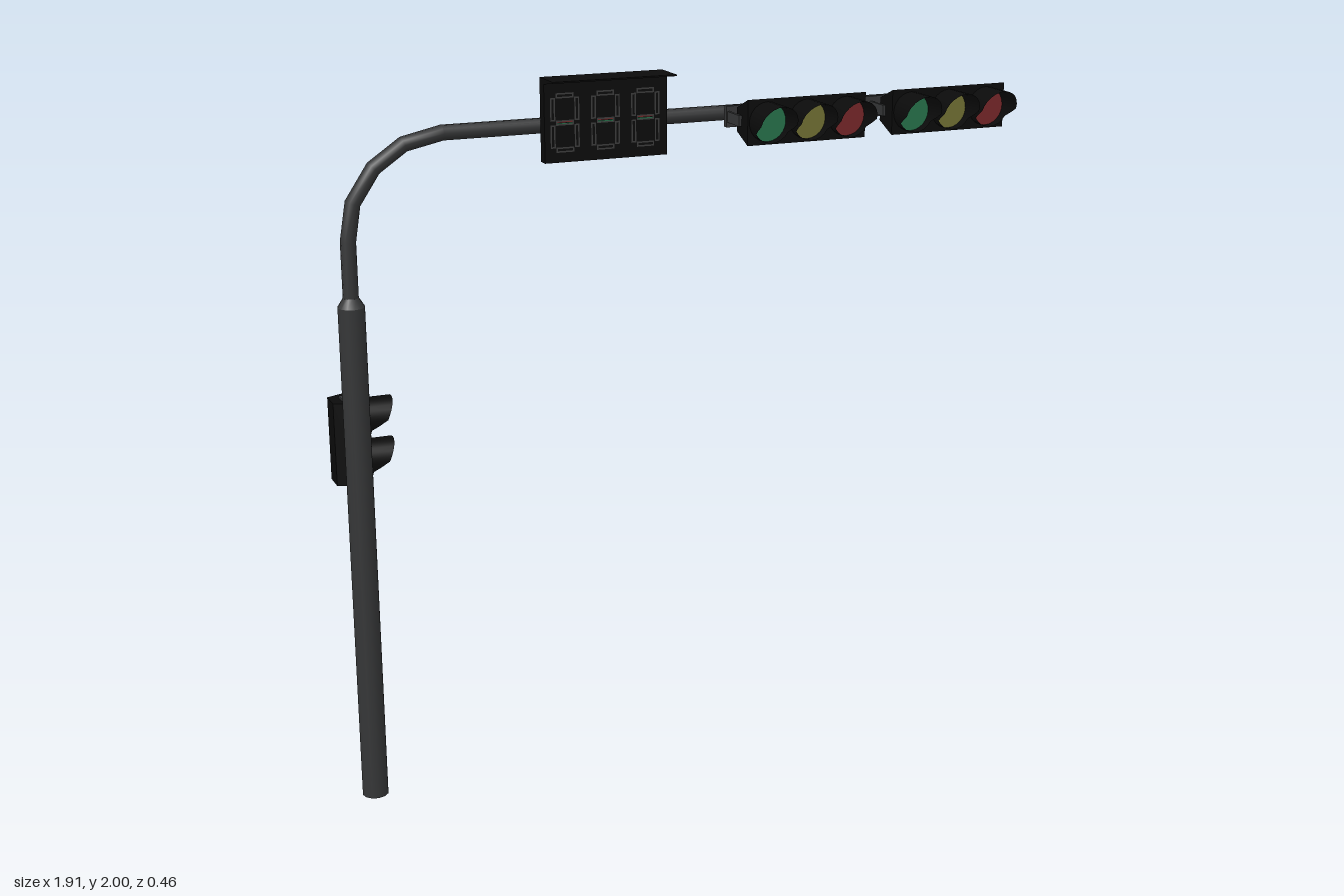
import * as THREE from 'three';

const mat = (name, color, side = THREE.FrontSide) => {
  const m = new THREE.MeshStandardMaterial({ color, side });
  m.name = name;
  return m;
};

export function createModel() {
  const root = new THREE.Group();
  root.name = 'trafficLight';
  const steel = mat('darkSteel', 0x353637);
  const black = mat('blackHousing', 0x0b0b0b);
  const hoodMat = mat('blackVisor', 0x0b0b0b, THREE.DoubleSide);
  const grey = mat('segmentGrey', 0x3c3c3c);
  const green = mat('greenLens', 0x26704a);
  const yellow = mat('yellowLens', 0x706f33);
  const red = mat('redLens', 0x752729);

  const add = (parent, name, geo, material, x = 0, y = 0, z = 0) => {
    const m = new THREE.Mesh(geo, material);
    m.name = name;
    m.position.set(x, y, z);
    parent.add(m);
    return m;
  };
  const box = (parent, name, material, w, h, d, x, y, z) =>
    add(parent, name, new THREE.BoxGeometry(w, h, d), material, x, y, z);

  // side profile in (z, y), extruded along x and centred
  const extrudeX = (profile, length) => {
    const shape = new THREE.Shape(profile.map(p => new THREE.Vector2(...p)));
    const geo = new THREE.ExtrudeGeometry(shape, { depth: length, bevelEnabled: false });
    return geo.rotateY(-Math.PI / 2).translate(length / 2, 0, 0);
  };

  // upright pole with a short tapered collar
  const px = -0.914, pz = -0.053, armY = 1.868;
  add(root, 'pole', new THREE.CylinderGeometry(0.037, 0.037, 1.425, 12), steel, px, 0.7125, pz);
  add(root, 'poleCollar', new THREE.CylinderGeometry(0.021, 0.037, 0.025, 12), steel, px, 1.4375, pz);

  // bent arm: one ring of vertices at each bend
  const pts = [[px, 1.43], [px, 1.6], [-0.897, 1.7], [-0.838, 1.788], [-0.755, 1.845],
    [-0.65, armY], [0.68, armY]].map(p => new THREE.Vector3(p[0], p[1], pz));
  class Polyline extends THREE.Curve {
    getPointAt(t) { return pts[Math.round(t * (pts.length - 1))].clone(); }
    getPoint(t) { return this.getPointAt(t); }
    getTangentAt(t) {
      const i = Math.round(t * (pts.length - 1));
      const dir = new THREE.Vector3();
      if (i > 0) dir.add(pts[i].clone().sub(pts[i - 1]).normalize());
      if (i < pts.length - 1) dir.add(pts[i + 1].clone().sub(pts[i]).normalize());
      return dir.normalize();
    }
  }
  add(root, 'arm', new THREE.TubeGeometry(new Polyline(), pts.length - 1, 0.021, 10), steel);
  add(root, 'armCap', new THREE.CircleGeometry(0.021, 10).rotateY(Math.PI / 2), steel, 0.68, armY, pz);

  // lamp visor: tube whose front rim is cut back towards the bottom
  const R = 0.054;
  const visorGeo = () => {
    const geo = new THREE.CylinderGeometry(R, R, 1, 24, 1, true).rotateX(Math.PI / 2);
    const pos = geo.attributes.position;
    for (let i = 0; i < pos.count; i++) {
      const v = pos.getY(i) / R;
      const rim = v > 0 ? 0.145 + 0.025 * v : 0.1 + 0.045 * Math.max(0, 1 + v * 2);
      pos.setZ(i, pos.getZ(i) > 0 ? rim : 0.068);
    }
    geo.computeVertexNormals();
    return geo;
  };

  // signal head facing +z with its back at z = 0
  const signalHead = (name, lenses, vertical) => {
    const head = new THREE.Group();
    head.name = name;
    const step = 0.119, length = step * lenses.length - 0.002;
    const body = extrudeX([[0, -0.032], [0.07, -0.062], [0.07, 0.062], [0, 0.032]], length);
    if (vertical) body.rotateZ(Math.PI / 2);
    add(head, 'housing', body, black);
    lenses.forEach((material, i) => {
      const o = (i - (lenses.length - 1) / 2) * step;
      const x = vertical ? 0 : o, y = vertical ? -o : 0;
      add(head, 'lens', new THREE.CircleGeometry(0.053, 24), material, x, y, 0.073);
      add(head, 'visor', visorGeo(), hoodMat, x, y, 0);
    });
    root.add(head);
    return head;
  };

  // two vehicle signals with their end prongs
  for (const x of [0.323, 0.762]) {
    signalHead('vehicleSignal', [green, yellow, red], false).position.set(x, armY, 0.06);
    for (const s of [-1, 1]) {
      box(root, 'signalProng', steel, 0.008, 0.03, 0.085, x + s * 0.182, armY, 0.05);
    }
  }
  // mounting rail and its links to the arm
  box(root, 'mountingRail', steel, 0.815, 0.058, 0.016, 0.5425, armY, 0.008);
  for (const x of [0.36, 0.665]) box(root, 'railLink', steel, 0.012, 0.03, 0.05, x, armY, -0.02);

  // pedestrian signal facing +x, held by two thin brackets
  const ped = signalHead('pedestrianSignal', [black, black], true);
  ped.position.set(-0.957, 1.021, -0.169);
  ped.rotation.y = Math.PI / 2;
  for (const y of [1.141, 0.901]) {
    box(root, 'pedestrianBracket', steel, 0.03, 0.008, 0.12, px, y, -0.125);
  }

  // little walking and standing figures on the lenses
  const figure = (material, y, spread) => {
    const g = new THREE.Group();
    g.name = 'pedestrianFigure';
    g.position.set(0, y, 0.076);
    add(g, 'figureHead', new THREE.CircleGeometry(0.005, 10), material, 0, 0.02, 0);
    box(g, 'figureTorso', material, 0.009, 0.018, 0.002, 0, 0.005, 0);
    for (const s of [-1, 1]) {
      box(g, 'figureLeg', material, 0.004, 0.02, 0.002, s * (0.003 + spread * 0.005), -0.012, 0)
        .rotation.z = s * spread * 0.5;
      box(g, 'figureArm', material, 0.003, 0.016, 0.002, s * (0.007 + spread * 0.004), 0.006, 0)
        .rotation.z = s * spread * 0.8;
    }
    ped.add(g);
  };
  figure(red, 0.0595, 0.1);
  figure(green, -0.0595, 1);

  // countdown board with a wedge-shaped hood
  const bx = -0.21, by = 1.8875;
  box(root, 'countdownBoard', black, 0.35, 0.225, 0.032, bx, by, -0.016);
  add(root, 'countdownHood', extrudeX([[-0.001, 1.985], [0.07, 1.996], [0.07, 2], [-0.001, 2]], 0.35),
    black, bx, 0, 0);

  // outlined seven-segment digits
  const segment = (x, y, w, h, inner) => {
    const rect = (shape, a, b) => shape.moveTo(-a, -b).lineTo(a, -b).lineTo(a, b).lineTo(-a, b).closePath();
    const shape = rect(new THREE.Shape(), w / 2, h / 2);
    shape.holes.push(rect(new THREE.Path(), w / 2 - 0.004, h / 2 - 0.004));
    add(root, 'digitSegment', new THREE.ShapeGeometry(shape), grey, x, y, 0.002);
    if (inner) {
      box(root, 'digitRedBar', red, w - 0.008, 0.003, 0.002, x, y + 0.0025, 0.001);
      box(root, 'digitGreenBar', green, w - 0.008, 0.003, 0.002, x, y - 0.0025, 0.001);
    }
  };
  for (const i of [-1, 0, 1]) {
    const x = bx - 0.003 + i * 0.115, y = 1.881;
    for (const k of [-1, 0, 1]) segment(x, y + k * 0.072, 0.05, 0.014, k === 0);
    for (const s of [-1, 1]) {
      for (const k of [-1, 1]) segment(x + s * 0.034, y + k * 0.036, 0.014, 0.062, false);
    }
  }

  return root;
}
